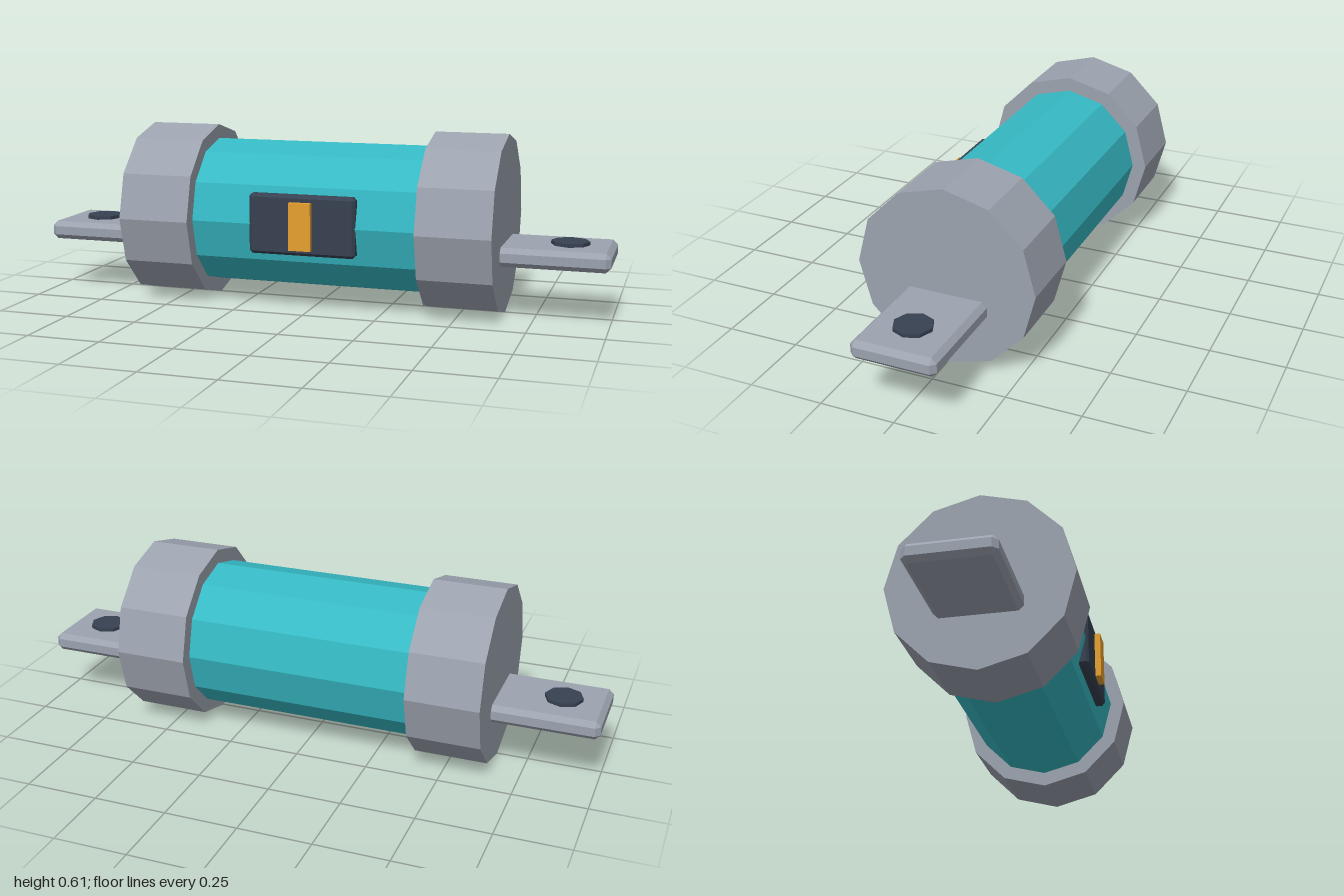
import * as THREE from 'three';
import { ConvexGeometry } from 'three/addons/geometries/ConvexGeometry.js';

const AXIS_Y = 0.304;

const material = (color) => new THREE.MeshStandardMaterial({ color, flatShading: true });

// Box with every edge cut by a flat chamfer
function chamferBox(w, h, d, c) {
  const points = [];
  for (const x of [-1, 1]) for (const y of [-1, 1]) for (const z of [-1, 1]) {
    for (let face = 0; face < 3; face++) {
      points.push(new THREE.Vector3(
        x * (w / 2 - (face === 0 ? 0 : c)),
        y * (h / 2 - (face === 1 ? 0 : c)),
        z * (d / 2 - (face === 2 ? 0 : c))));
    }
  }
  return new ConvexGeometry(points);
}

// Twelve-sided drum lying along x
const drum = (radius, length) =>
  new THREE.CylinderGeometry(radius, radius, length, 12).rotateZ(Math.PI / 2);

export function createModel() {
  const model = new THREE.Group();
  model.name = 'cartridge';
  const metal = material(0x9ca3af);
  const teal = material(0x36b9c4);
  const dark = material(0x374151);
  const amber = material(0xe8a030);

  const add = (name, geometry, mat, x, y, z) => {
    const mesh = new THREE.Mesh(geometry, mat);
    mesh.name = name;
    mesh.position.set(x, y, z);
    model.add(mesh);
  };

  add('body', drum(0.255, 0.84), teal, 0, AXIS_Y, 0);

  // End caps, blade terminals and their bolt heads
  for (const [side, s] of [['left', 1], ['right', -1]]) {
    add(side + 'Cap', drum(AXIS_Y, 0.25), metal, s * 0.518, AXIS_Y, 0);
    add(side + 'Blade', chamferBox(0.4, 0.064, 0.284, 0.017), metal, s * 0.8, 0.216, 0);
    add(side + 'Bolt', new THREE.CylinderGeometry(0.064, 0.064, 0.02, 8), dark, s * 0.855, 0.25, 0);
  }

  // Indicator window on the front
  add('windowPanel', chamferBox(0.37, 0.204, 0.04, 0.01), dark, 0, 0.307, 0.243);
  add('indicatorStrip', new THREE.BoxGeometry(0.076, 0.16, 0.03), amber, 0, 0.306, 0.268);

  return model;
}
